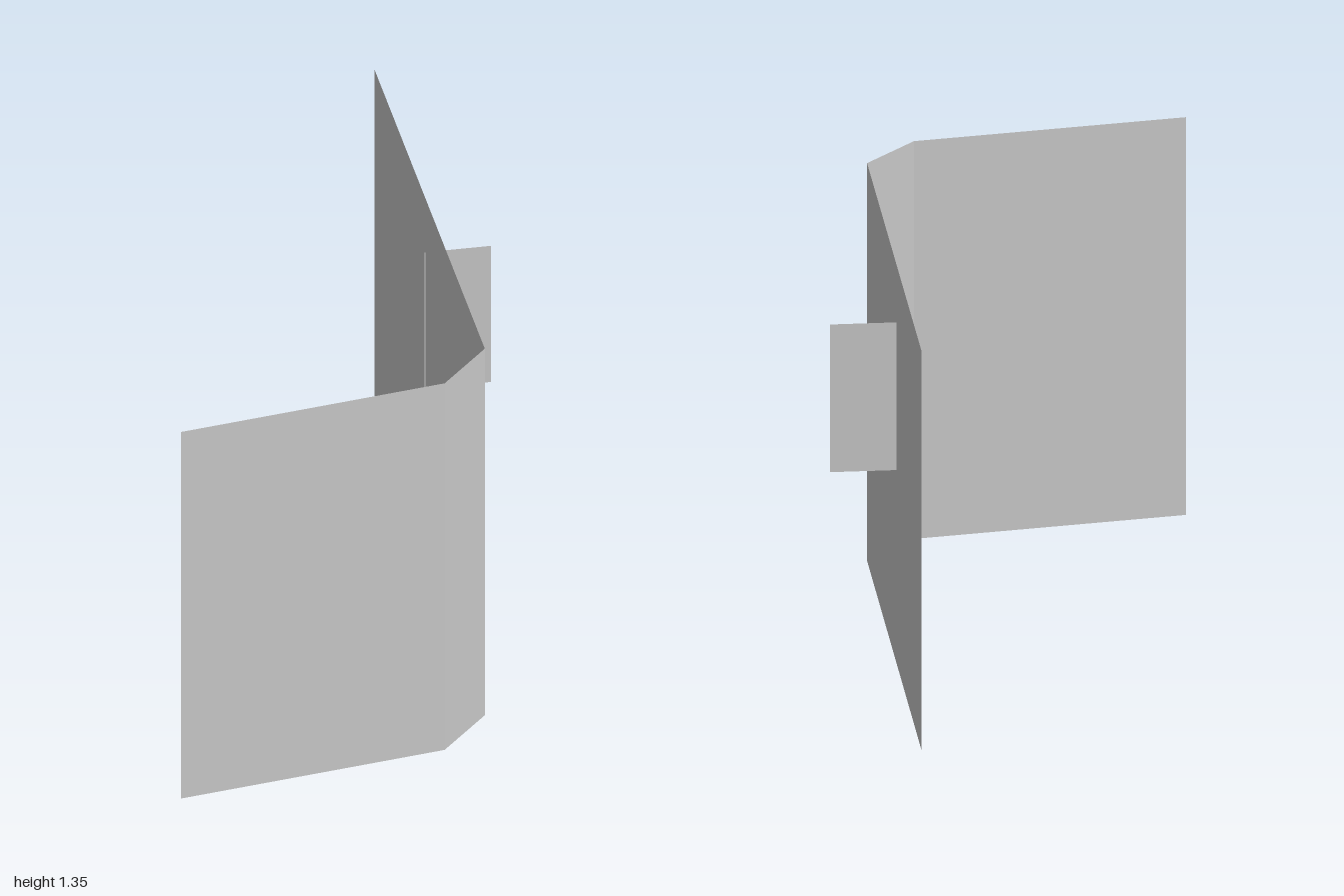
import * as THREE from 'three';

const wallGrey = new THREE.MeshStandardMaterial({ color: 0xc8c8c8, side: THREE.DoubleSide });
wallGrey.name = 'wallGrey';

// Upright flat sheet between two plan points [x, z]; the top edge may slope
function sheet(name, [ax, az], [bx, bz], bottom, topA, topB = topA) {
  const geometry = new THREE.BufferGeometry();
  geometry.setAttribute('position', new THREE.Float32BufferAttribute([
    ax, bottom, az, bx, bottom, bz, bx, topB, bz, ax, topA, az,
  ], 3));
  geometry.setIndex([0, 1, 2, 0, 2, 3]);
  geometry.computeVertexNormals();
  const mesh = new THREE.Mesh(geometry, wallGrey);
  mesh.name = name;
  return mesh;
}

export function createModel() {
  const group = new THREE.Group();
  group.name = 'angledWall';

  // Plan corners of the folded wall, from the front panel round to the back end
  const plan = [[-0.712, 1.0], [0.182, 0.972], [0.374, 0.802], [0.612, -1.0]];
  const tops = [1.341, 1.341, 1.341, 1.346];
  ['frontWall', 'cornerWall', 'sideWall'].forEach((name, i) => {
    group.add(sheet(name, plan[i], plan[i + 1], 0, tops[i], tops[i + 1]));
  });

  // Small sign standing out square from the side wall, its inner edge just through it
  group.add(sheet('projectingSign', [0.498, -0.166], [0.712, -0.138], 0.65, 1.148));

  return group;
}
